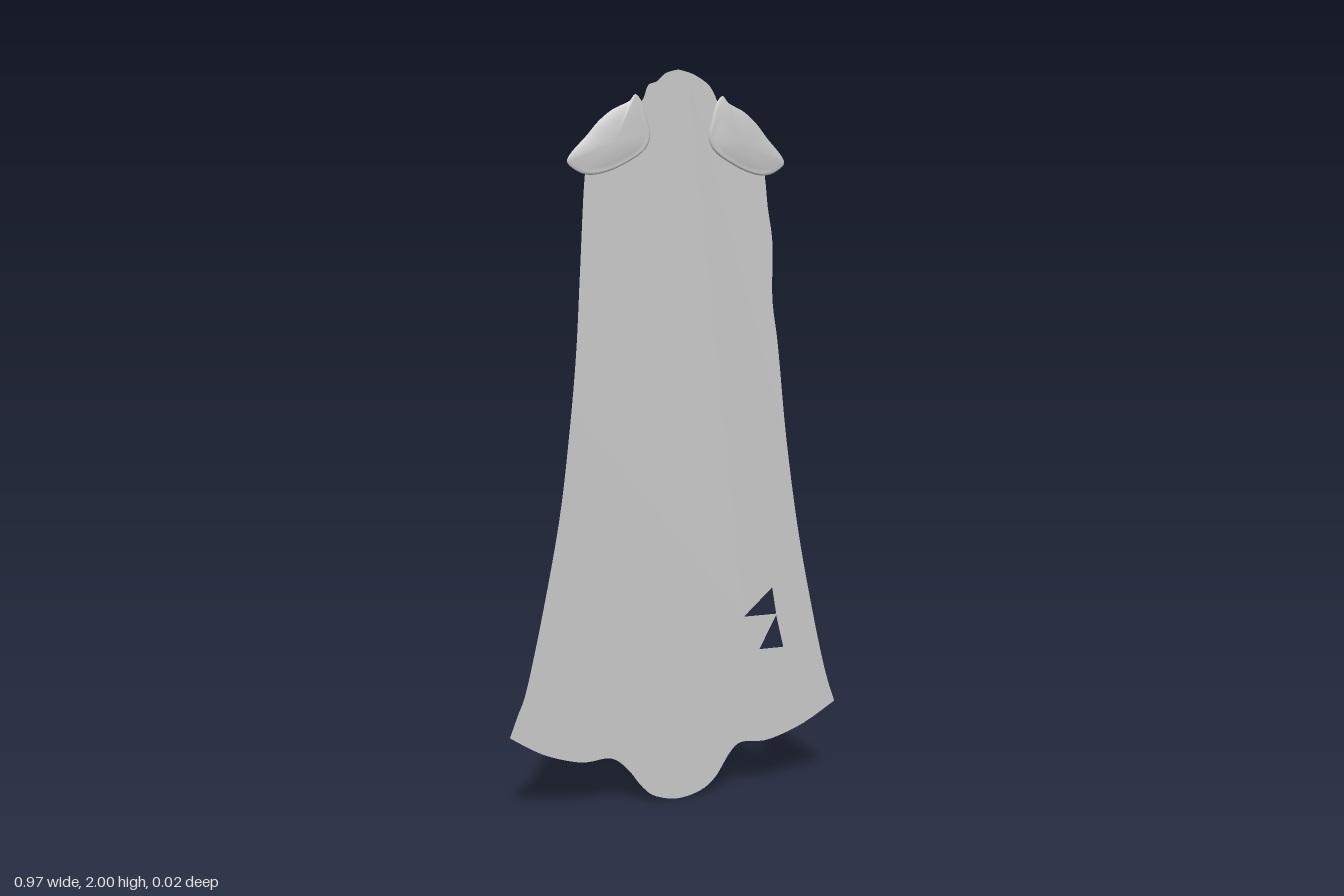
import * as THREE from 'three';

const cloth = new THREE.MeshStandardMaterial({ color: 0xc8c8c8, side: THREE.DoubleSide });
cloth.name = 'light grey';

const vectors = (pts) => pts.map(([x, y]) => new THREE.Vector2(x, y));

// Flat cape panel with a scalloped hem and two torn triangular holes
function createCape() {
  const shape = new THREE.Shape();
  shape.moveTo(0, 2);
  // right edge, from neck to hem corner
  shape.splineThru(vectors([[-0.035, 1.99], [-0.06, 1.968], [-0.085, 1.957], [-0.1, 1.92], [-0.13, 1.89],
    [-0.2, 1.84], [-0.245, 1.78], [-0.262, 1.72], [-0.277, 1.47], [-0.29, 1.25], [-0.313, 1.02],
    [-0.341, 0.81], [-0.388, 0.57], [-0.436, 0.36], [-0.462, 0.29], [-0.485, 0.23]]));
  // hem
  shape.splineThru(vectors([[-0.39, 0.172], [-0.283, 0.138], [-0.2, 0.14], [-0.15, 0.103], [-0.11, 0.05],
    [-0.07, 0.016], [0, 0], [0.07, 0.016], [0.114, 0.05], [0.156, 0.113], [0.193, 0.141],
    [0.272, 0.138], [0.38, 0.172], [0.483, 0.23]]));
  // left edge, back up to the neck
  shape.splineThru(vectors([[0.452, 0.325], [0.412, 0.495], [0.364, 0.733], [0.324, 1.0], [0.296, 1.26],
    [0.278, 1.39], [0.277, 1.54], [0.262, 1.64], [0.253, 1.72], [0.24, 1.78], [0.19, 1.84],
    [0.125, 1.9], [0.1, 1.945], [0.08, 1.968], [0.04, 1.99], [0, 2]]));

  const tears = [
    [[0.198, 0.503], [0.284, 0.58], [0.297, 0.503]],
    [[0.297, 0.499], [0.32, 0.405], [0.246, 0.405]],
  ];
  for (const tear of tears) shape.holes.push(new THREE.Path(vectors(tear)));

  const mesh = new THREE.Mesh(new THREE.ShapeGeometry(shape, 4), cloth);
  mesh.name = 'cape';
  mesh.position.z = -0.009;
  return mesh;
}

// Shallow domed shoulder plate, made of shrinking rings, with a rim along its lower and inner edge
function createShoulderPlate(side) {
  const outline = [[0.124, 1.933], [0.108, 1.918], [0.092, 1.87], [0.083, 1.825], [0.098, 1.79], [0.16, 1.75],
    [0.21, 1.73], [0.25, 1.724], [0.282, 1.733], [0.31, 1.757], [0.303, 1.775], [0.257, 1.825],
    [0.225, 1.862], [0.188, 1.892], [0.155, 1.908], [0.14, 1.916]];
  const curve = new THREE.CatmullRomCurve3(
    outline.map(([x, y]) => new THREE.Vector3(x * side, y, 0)), true, 'centripetal');
  const ring = curve.getPoints(80).slice(0, -1);
  // rings run anticlockwise so the dome faces forward
  if (THREE.ShapeUtils.area(ring) < 0) ring.reverse();
  // scale of each ring, its height, and how much of the rim it carries
  const profile = [[1, 0, 0], [0.985, 0.0014, 0.6], [0.95, 0.0025, 1], [0.9, 0.0035, 0.7], [0.85, 0.0045, 0],
    [0.75, 0.0062, 0], [0.6, 0.008, 0], [0.4, 0.0096, 0], [0.2, 0.0105, 0], [0.001, 0.0108, 0]];
  const cx = 0.185, cy = 1.81, n = ring.length;
  const positions = [], index = [];
  profile.forEach(([s, h, rim], r) => {
    ring.forEach((p, i) => {
      const dx = p.x * side - cx, dy = p.y - cy;
      const x = cx + dx * s;
      // base falls back towards the outer tip
      const base = -0.009 * THREE.MathUtils.smoothstep(x, 0.12, 0.32);
      const lower = THREE.MathUtils.smoothstep(-(dx + dy) / Math.hypot(dx, dy), -0.4, 0.4);
      positions.push(x * side, cy + dy * s, base + h + 0.0022 * rim * lower);
      if (r === 0) return;
      const j = (i + 1) % n, a = (r - 1) * n, b = r * n;
      index.push(a + i, a + j, b + i, a + j, b + j, b + i);
    });
  });
  const geometry = new THREE.BufferGeometry();
  geometry.setAttribute('position', new THREE.Float32BufferAttribute(positions, 3));
  geometry.setIndex(index);
  geometry.computeVertexNormals();
  const mesh = new THREE.Mesh(geometry, cloth);
  mesh.name = side > 0 ? 'leftShoulderPlate' : 'rightShoulderPlate';
  return mesh;
}

export function createModel() {
  const model = new THREE.Group();
  model.name = 'shoulderCape';
  model.add(createCape(), createShoulderPlate(1), createShoulderPlate(-1));
  return model;
}
